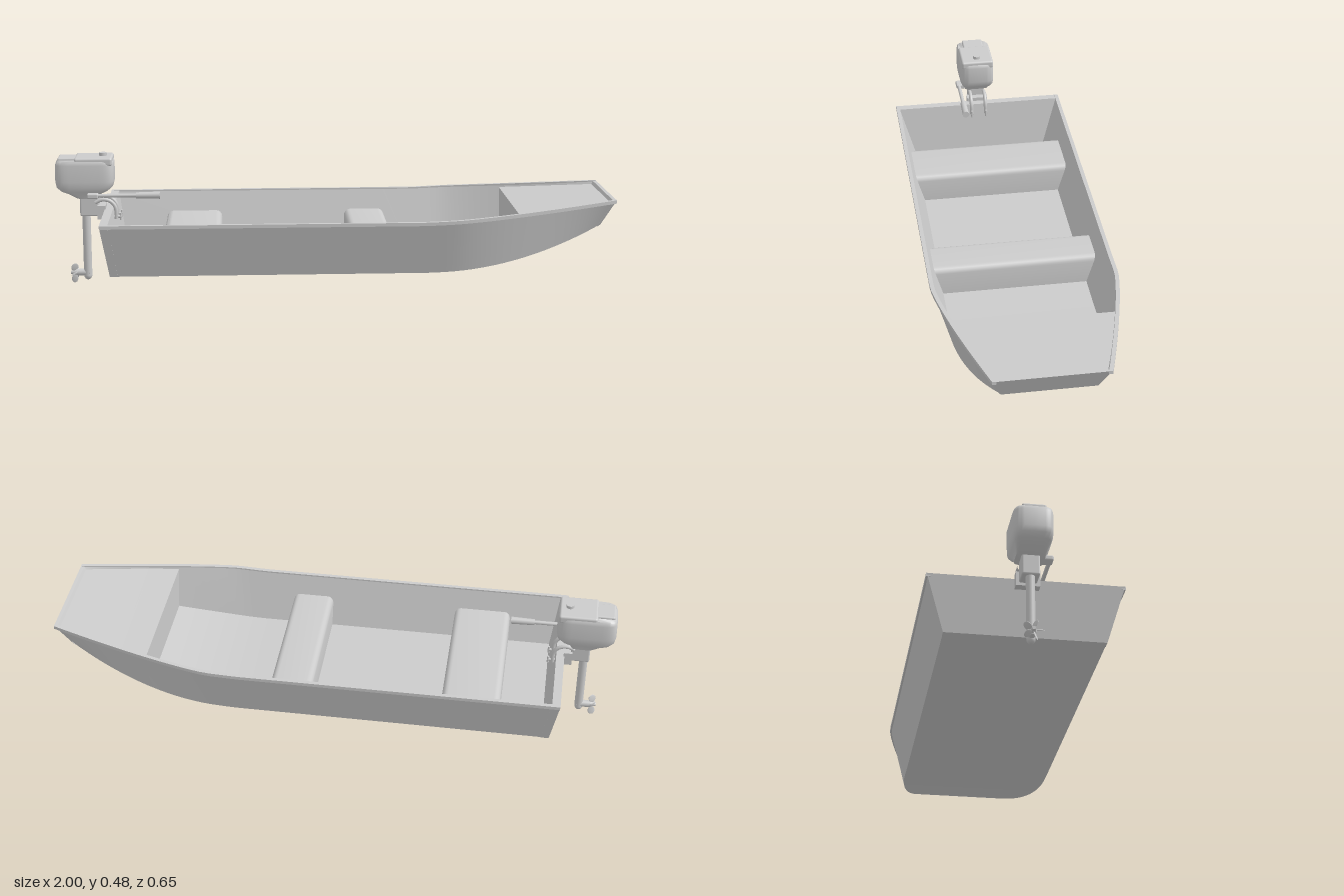
import * as THREE from 'three';
import { toCreasedNormals } from 'three/addons/utils/BufferGeometryUtils.js';
import { RoundedBoxGeometry } from 'three/addons/geometries/RoundedBoxGeometry.js';

const grey = new THREE.MeshStandardMaterial({ color: 0xcccccc });

function add(parent, name, geometry, x = 0, y = 0, z = 0) {
  const mesh = new THREE.Mesh(geometry, grey);
  mesh.name = name;
  mesh.position.set(x, y, z);
  parent.add(mesh);
  return mesh;
}

// Skins a row of closed loops of [x, y, z] points, with optional end caps
function loft(loops, caps = true, crease = 0.5) {
  const pos = [];
  const tri = (a, b, c) => pos.push(...a, ...b, ...c);
  const n = loops[0].length;
  for (let i = 0; i < loops.length - 1; i++) {
    for (let j = 0; j < n; j++) {
      const k = (j + 1) % n, A = loops[i], B = loops[i + 1];
      tri(A[j], A[k], B[k]);
      tri(A[j], B[k], B[j]);
    }
  }
  if (caps) {
    const first = loops[0], last = loops[loops.length - 1];
    for (let j = 1; j < n - 1; j++) {
      tri(first[0], first[j + 1], first[j]);
      tri(last[0], last[j], last[j + 1]);
    }
  }
  const geo = new THREE.BufferGeometry();
  geo.setAttribute('position', new THREE.Float32BufferAttribute(pos, 3));
  return toCreasedNormals(geo, crease);
}

// Hull lines as functions of x
const ramp = (x, from, to, power) => Math.pow(THREE.MathUtils.clamp((x - from) / (to - from), 0, 1), power);
const sheerY = x => 0.275 + 0.045 * ramp(x, 0.3, 1, 1.3);
const sheerW = x => 0.324 - 0.133 * ramp(x, 0.42, 1, 1.25);
const keelY = x => 0.083 + 0.144 * ramp(x, 0.3, 0.95, 2);
const keelW = x => 0.266 - 0.109 * ramp(x, 0.42, 0.95, 1.8);
const keelX = x => -0.795 + (x + 0.825) / 1.825 * 1.745;

// Trapezoid cross-section of the hull
function section(xt, xb, topIn = 0, topDown = 0, botIn = 0, botUp = 0) {
  const w = sheerW(xt) - topIn, b = keelW(xb) - botIn;
  const yt = sheerY(xt) - topDown, yb = keelY(xb) + botUp;
  return [[xt, yt, w], [xb, yb, b], [xb, yb, -b], [xt, yt, -w]];
}

function buildHull(parent) {
  const stations = [-0.825, -0.3, 0.2];
  for (let i = 0; i <= 20; i++) stations.push(0.3 + 0.035 * i);

  add(parent, 'hullShell', loft(stations.map(x => [
    ...section(x, keelX(x)),
    ...section(x, keelX(x), 0.01, 0, 0.006, 0.01).reverse(),
  ]), false));

  // Stern and bow end plates
  const plate = (x, dx) => section(x + dx, keelX(x) + dx, -0.001, -0.001, -0.001, -0.001);
  add(parent, 'transom', loft([plate(-0.825, -0.001), plate(-0.825, 0.028)]));
  add(parent, 'bowPlate', loft([plate(1, -0.012), plate(1, 0)]));

  // Gunwale rails
  for (const side of [1, -1]) {
    add(parent, side > 0 ? 'leftRail' : 'rightRail', loft(stations.map(x => {
      const z = side * (sheerW(x) - 0.004), y = sheerY(x) + 0.002;
      return [[x, y, z + 0.007], [x, y - 0.012, z + 0.007], [x, y - 0.012, z - 0.007], [x, y, z - 0.007]];
    })));
  }

  // Bow deck with its bulkhead
  const deck = [];
  for (let i = 0; i <= 10; i++) {
    deck.push(section(0.645 + 0.0345 * i, 0.645 + 0.03 * i, 0.006, 0.01, 0.004, 0.006));
  }
  add(parent, 'bowDeck', loft(deck));

  // Bench seats with rounded top edges, fitted to the sloping sides
  const bench = (name, x0, x1) => {
    const edge = [[0, 0.178], [0.002, 0.187], [0.008, 0.195], [0.015, 0.199], [0.023, 0.2]];
    const steps = [...edge.map(([d, y]) => [x0 + d, y]), ...edge.reverse().map(([d, y]) => [x1 - d, y])];
    add(parent, name, loft(steps.map(([x, y]) => {
      const w = 0.262 + (y - 0.09) * 0.33;
      return [[x, y, w], [x, 0.088, 0.261], [x, 0.088, -0.261], [x, y, -w]];
    }), true, 0.7));
  };
  bench('rearSeat', -0.615, -0.408);
  bench('middleSeat', 0.055, 0.205);
}

// Rounded rectangle ring for the engine cover
function ring(y, x0, x1, w) {
  const pts = [], soft = v => Math.sign(v) * Math.pow(Math.abs(v), 0.36);
  for (let i = 0; i < 40; i++) {
    const a = i / 40 * Math.PI * 2;
    pts.push([(x0 + x1) / 2 + (x1 - x0) / 2 * soft(Math.cos(a)), y, -w * soft(Math.sin(a))]);
  }
  return pts;
}

function rod(radius, length, axis, radius2 = radius) {
  const geo = new THREE.CylinderGeometry(radius2, radius, length, 20);
  return axis === 'x' ? geo.rotateZ(-Math.PI / 2) : geo;
}

function buildMotor(parent) {
  // Engine cover
  add(parent, 'engineCover', loft([
    ring(0.318, -0.925, -0.845, 0.048), ring(0.334, -0.955, -0.835, 0.053),
    ring(0.345, -0.982, -0.812, 0.06), ring(0.36, -0.996, -0.795, 0.065),
    ring(0.38, -1, -0.79, 0.066), ring(0.44, -0.999, -0.791, 0.066),
    ring(0.452, -0.995, -0.793, 0.064), ring(0.457, -0.988, -0.797, 0.061),
  ], true, 0.8));
  add(parent, 'coverLid', new RoundedBoxGeometry(0.135, 0.03, 0.124, 4, 0.008), -0.862, 0.452, 0);
  add(parent, 'rearLid', new RoundedBoxGeometry(0.07, 0.02, 0.08, 4, 0.006), -0.955, 0.455, 0);
  add(parent, 'coverKnob', rod(0.014, 0.014, 'y'), -0.83, 0.471, 0);

  // Leg and lower unit
  add(parent, 'swivelBracket', new RoundedBoxGeometry(0.068, 0.075, 0.06, 3, 0.006), -0.881, 0.287, 0);
  add(parent, 'driveLeg', rod(0.015, 0.235, 'y'), -0.895, 0.143, 0);
  add(parent, 'legFoot', new THREE.SphereGeometry(0.015, 20, 12).scale(1, 1.2, 1), -0.895, 0.027, 0);
  add(parent, 'gearCase', rod(0.012, 0.05, 'x', 0.014), -0.912, 0.036, 0);

  // Propeller
  const propeller = new THREE.Group();
  propeller.name = 'propeller';
  propeller.position.set(-0.942, 0.036, 0);
  parent.add(propeller);
  add(propeller, 'hub', rod(0.006, 0.03, 'x', 0.012));
  for (let i = 0; i < 5; i++) {
    const blade = add(propeller, 'blade', new THREE.SphereGeometry(1, 14, 10)
      .scale(0.014, 0.015, 0.0018).rotateY(0.5).translate(0, 0.022, 0));
    blade.rotation.x = 0.3 + i * Math.PI * 2 / 5;
  }

  // Clamp arms hooked over the transom, with screws
  add(parent, 'clampPlate', new THREE.BoxGeometry(0.03, 0.05, 0.08), -0.838, 0.265, 0);
  for (const z of [-0.028, 0.028]) {
    const arch = new THREE.CatmullRomCurve3([
      [-0.86, 0.3], [-0.835, 0.31], [-0.805, 0.304], [-0.788, 0.282], [-0.785, 0.24],
    ].map(([x, y]) => new THREE.Vector3(x, y, z)));
    add(parent, 'clampArm', new THREE.TubeGeometry(arch, 20, 0.007, 10));
    add(parent, 'clampScrew', rod(0.005, 0.035, 'x'), -0.785, 0.248, z);
    add(parent, 'screwHandle', rod(0.004, 0.026, 'y'), -0.769, 0.248, z);
  }

  // Steering tiller
  add(parent, 'tillerMount', new RoundedBoxGeometry(0.04, 0.018, 0.06, 3, 0.005), -0.865, 0.332, 0.05);
  add(parent, 'tillerArm', rod(0.007, 0.15, 'x'), -0.78, 0.333, 0.07);
  add(parent, 'tillerGrip', rod(0.011, 0.085, 'x', 0.013), -0.668, 0.333, 0.07);
}

export function createModel() {
  const model = new THREE.Group();
  model.name = 'motorBoat';
  for (const [name, build] of [['hull', buildHull], ['outboardMotor', buildMotor]]) {
    const group = new THREE.Group();
    group.name = name;
    build(group);
    model.add(group);
  }
  return model;
}
